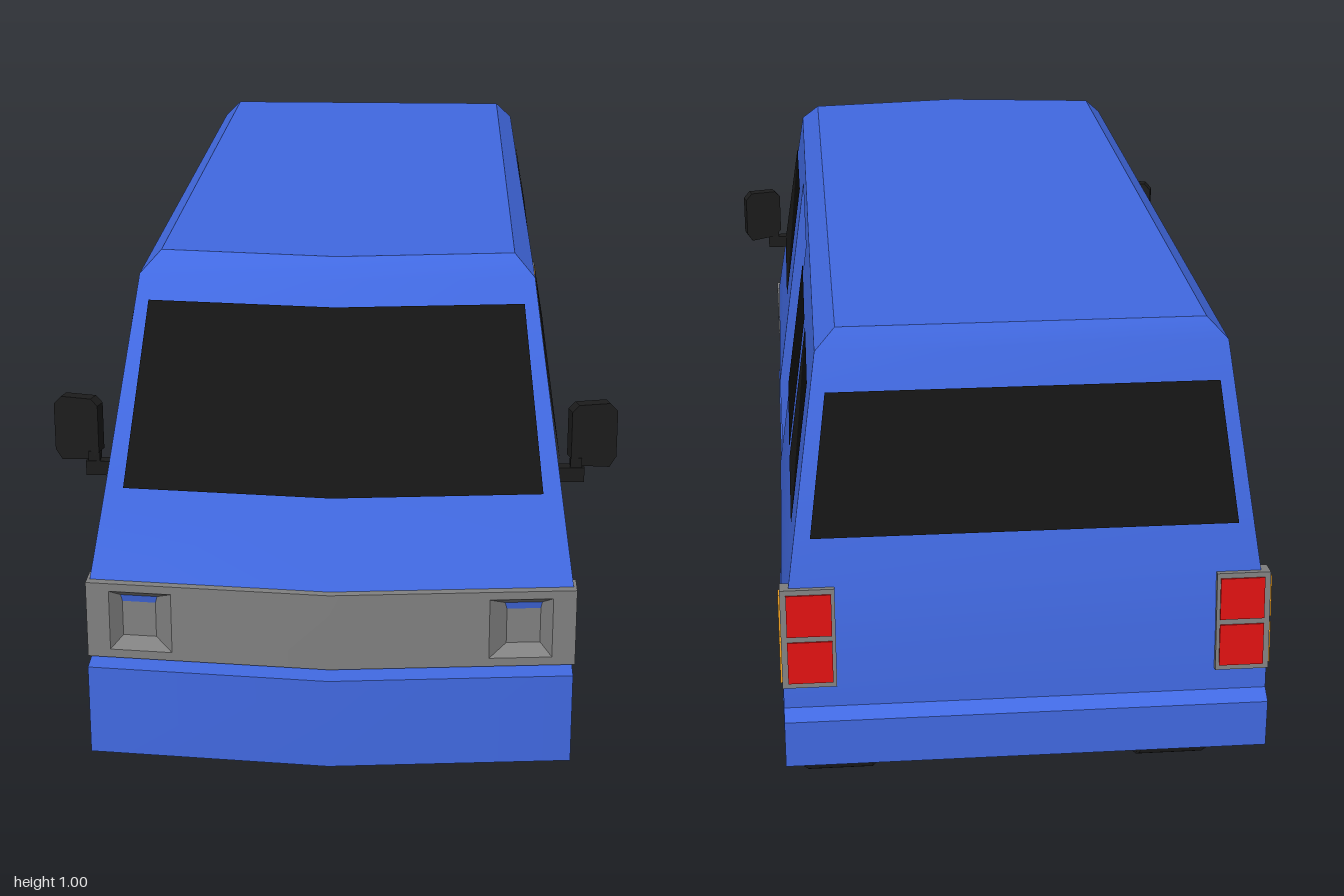
import * as THREE from 'three';
import { mergeGeometries, toCreasedNormals } from 'three/addons/utils/BufferGeometryUtils.js';

const mat = (color, side = THREE.FrontSide) => new THREE.MeshStandardMaterial({ color, side });
const blue = mat(0x4169e1, THREE.DoubleSide);
const glass = mat(0x151515, THREE.DoubleSide);
const black = mat(0x1c1c1c);
const rubber = mat(0x303030);
const rim = mat(0x808080);
const grey = mat(0x808080, THREE.DoubleSide);
const red = mat(0xdd1111);
const amber = mat(0xf0a020);

// Body rules: wall heights with centre z, half width by height, V-shaped nose
const FRONT = [[0.18, 0.995], [0.34, 0.995], [0.345, 0.915], [0.48, 0.945], [0.62, 0.87], [0.965, 0.715], [1, 0.68]];
const REAR = [[0.18, -0.74], [0.26, -1], [0.345, -1], [0.36, -0.975], [0.48, -0.968], [0.58, -0.955], [0.965, -0.87], [1, -0.85]];
const BOW = 0.04, FLOOR = 0.18, BELT = 0.48, EAVE = 0.965;
const ARCHES = [0.525, -0.545], ARCH_R = 0.195, WELL_X = 0.2;
const DOOR = [[0.25, 0.34], [0.25, BELT], [0.245, 0.93], [-0.19, 0.93], [-0.2, BELT], [-0.2, 0.34]];
const DOOR_X = 0.34;

function width(y) {
  if (y <= BELT) return 0.415;
  if (y <= EAVE) return THREE.MathUtils.mapLinear(y, BELT, EAVE, 0.415, 0.345);
  return THREE.MathUtils.mapLinear(y, EAVE, 1, 0.345, 0.31);
}
function along(profile, y) {
  const i = Math.max(1, profile.findIndex(p => p[0] >= y));
  const [a, b] = [profile[i - 1], profile[i]];
  return THREE.MathUtils.mapLinear(y, a[0], b[0], a[1], b[1]);
}

// Surface through rows of points, rows going up, points left to right from outside
function grid(rows) {
  const n = rows[0].length, index = [];
  for (let r = 0; r < rows.length - 1; r++) for (let c = 0; c < n - 1; c++) {
    const a = r * n + c;
    index.push(a, a + 1, a + n + 1, a, a + n + 1, a + n);
  }
  const g = new THREE.BufferGeometry();
  g.setAttribute('position', new THREE.Float32BufferAttribute(rows.flat(2), 3));
  g.setIndex(index);
  return g;
}

// Flat outline with each 2D point moved to 3D by a rule
function panel(points, place, hole) {
  const shape = new THREE.Shape(points.map(p => new THREE.Vector2(...p)));
  if (hole) shape.holes.push(new THREE.Path(hole.map(p => new THREE.Vector2(...p))));
  const g = new THREE.ShapeGeometry(shape), pos = g.attributes.position;
  for (let i = 0; i < pos.count; i++) pos.setXYZ(i, ...place(pos.getX(i), pos.getY(i)));
  return g;
}
// Outline in (z, y) laid on the right or left body side
const sidePanel = (points, side, lift = 0) =>
  panel(points.map(([z, y]) => [-side * z, y]), (s, y) => [side * (width(y) + lift), y, -side * s]);

function merged(list) {
  return toCreasedNormals(mergeGeometries(list.map(g => {
    const flat = g.index ? g.toNonIndexed() : g;
    for (const k of ['uv', 'normal']) flat.deleteAttribute(k);
    return flat;
  })), 0.6);
}
function add(parent, name, geometry, material) {
  const m = new THREE.Mesh(geometry, material);
  m.name = name;
  parent.add(m);
  return m;
}
function box(parent, name, size, at, material) {
  const m = add(parent, name, new THREE.BoxGeometry(...size), material);
  m.position.set(...at);
  return m;
}
const arc = zc => Array.from({ length: 17 }, (_, i) => {
  const a = Math.PI * i / 16;
  return [zc + ARCH_R * Math.cos(a), FLOOR + ARCH_R * Math.sin(a)];
});

function bodyGeometry() {
  const list = [];
  // front wall, rear wall and roof
  list.push(grid(FRONT.map(([y, z]) => [-1, 0, 1].map(u => [u * width(y), y, z - BOW * Math.abs(u)]))));
  list.push(grid(REAR.map(([y, z]) => [1, -1].map(u => [u * width(y), y, z]))));
  list.push(grid([0.68, -0.85].map((z, i) => [-1, 0, 1].map(u => [u * 0.31, 1, z - (i ? 0 : BOW * Math.abs(u))]))));
  // floor between and around the wheel wells
  const floor = [[-0.415, 0.955], [0, 0.995], [0.415, 0.955]];
  const edge = [];
  for (const zc of ARCHES) edge.push([0.415, zc + ARCH_R], [WELL_X, zc + ARCH_R], [WELL_X, zc - ARCH_R], [0.415, zc - ARCH_R]);
  edge.pop();
  list.push(panel([...floor, ...edge, ...edge.map(([x, z]) => [-x, z]).reverse()], (x, z) => [x, FLOOR, z]));

  for (const side of [1, -1]) {
    const open = side > 0;
    // lower side with wheel arches, upper side, roof edge
    const lower = [[0.905, BELT], [0.875, 0.345], [0.955, 0.34], [0.955, FLOOR], ...arc(ARCHES[0]), ...arc(ARCHES[1]),
      [-1, 0.26], [-1, 0.345], [-0.975, 0.36], [-0.968, BELT]];
    const upper = [[-0.968, BELT], [-0.955, 0.58], [-0.87, EAVE], [0.675, EAVE], [0.83, 0.62], [0.905, BELT]];
    if (open) {
      lower.push(DOOR[4], DOOR[5], DOOR[0], DOOR[1]);
      upper.push(...DOOR.slice(1, 5));
    }
    list.push(sidePanel(lower, side), sidePanel(upper, side));
    const eave = [EAVE, 1].map(y => [along(FRONT, y) - BOW, along(REAR, y)].map(z => [side * width(y), y, z]));
    list.push(grid(open ? eave : eave.map(r => r.reverse())));
    // wheel wells
    for (const zc of ARCHES) {
      list.push(grid([width(0.3), WELL_X].map(x => arc(zc).map(([z, y]) => [side * x, y, z]))));
      list.push(panel(arc(zc), (z, y) => [side * WELL_X, y, z]));
    }
  }
  // door jamb
  const loop = [...DOOR, DOOR[0]];
  list.push(grid([loop.map(([z, y]) => [width(y), y, z]), loop.map(([z, y]) => [DOOR_X, y, z])]));
  return merged(list);
}

function addWindows(van) {
  const front = [[0.75, 0.65], [0.67, 0.895], [0.295, 0.905], [0.31, 0.655]];
  const middle = [[0.205, 0.655], [0.2, 0.905], [-0.17, 0.905], [-0.18, 0.655]];
  const back = [[-0.22, 0.655], [-0.215, 0.905], [-0.525, 0.9], [-0.545, 0.655]];
  const rearmost = [[-0.585, 0.655], [-0.575, 0.905], [-0.845, 0.9], [-0.885, 0.66]];
  for (const side of [1, -1])
    for (const w of side > 0 ? [front, back, rearmost] : [front, middle, back, rearmost])
      add(van, 'sideWindow', sidePanel(w, side, 0.004), glass);
  const pane = (rows, profile, us, bow, lift) => merged([grid(rows.map(([y, hw]) =>
    us.map(u => [u * hw, y, along(profile, y) + lift - bow * Math.abs(u) * hw / width(y)])))]);
  add(van, 'windscreen', pane([[0.625, 0.362], [0.925, 0.327]], FRONT, [-1, 0, 1], BOW, 0.007), glass);
  add(van, 'rearWindow', pane([[0.66, 0.362], [0.9, 0.33]], REAR, [1, -1], 0, -0.005), glass);
  add(van, 'doorOpening', panel(DOOR.map(([z, y]) => [-z, y]), (s, y) => [DOOR_X, y, -s]), glass);
}

// Grey nose band with a sunken headlight on each side
function grilleGeometry() {
  const list = [], lo = 0.345, hi = 0.482, W = 0.42;
  const z = x => 0.96 - BOW * Math.abs(x) / W;
  const rect = (x0, x1, y0, y1) => [[x0, y0], [x1, y0], [x1, y1], [x0, y1]];
  for (const s of [1, -1]) {
    const outer = rect(s * 0.272, s * 0.38, 0.36, 0.468), inner = rect(s * 0.302, s * 0.36, 0.378, 0.452);
    list.push(panel(rect(0, s * W, lo, hi), (x, y) => [x, y, z(x)], outer));
    list.push(panel(inner, (x, y) => [x, y, z(x) - 0.024]));
    const ring = (r, d) => [...r, r[0]].map(([x, y]) => [x, y, z(x) - d]);
    const rows = [ring(outer, 0), ring(inner, 0.024)];
    list.push(grid(s > 0 ? rows : rows.reverse()));
    list.push(panel(rect(0.89, z(W), lo, hi), (d, y) => [s * W, y, d]));
    for (const y of [lo, hi]) list.push(panel([[0, z(0)], [s * W, z(W)], [s * W, 0.87], [0, 0.89]], (x, d) => [x, y, d]));
  }
  return merged(list);
}

function addWheel(parent, z) {
  const wheel = new THREE.Group();
  wheel.name = 'wheel';
  const turn = pts => toCreasedNormals(new THREE.LatheGeometry(pts.map(p => new THREE.Vector2(...p)), 28), 0.6);
  add(wheel, 'tyre', turn([[0, 0], [0.15, 0], [0.163, 0.016], [0.163, 0.138], [0.15, 0.16], [0.108, 0.16], [0.1, 0.146]]), rubber);
  add(wheel, 'hub', turn([[0.104, 0.15], [0.098, 0.157], [0.09, 0.152], [0.083, 0.132], [0, 0.138]]), rim);
  wheel.rotation.z = -Math.PI / 2;
  wheel.position.set(0.24, 0.163, z);
  parent.add(wheel);
}

function addSideParts(van, side) {
  const half = new THREE.Group();
  half.name = side > 0 ? 'leftParts' : 'rightParts';
  half.scale.x = side;
  van.add(half);
  for (const z of ARCHES) {
    addWheel(half, z);
    const lip = add(half, 'archLip', new THREE.TorusGeometry(0.2, 0.013, 6, 20, Math.PI), blue);
    lip.rotation.y = Math.PI / 2;
    lip.scale.z = 0.6;
    lip.position.set(0.413, FLOOR, z);
  }
  // door mirror
  const outline = [[0.015, 0], [0.07, -0.006], [0.082, 0.012], [0.082, 0.095], [0.068, 0.11], [0.012, 0.11], [0, 0.098], [0, 0.014]];
  const head = add(half, 'mirror', new THREE.ExtrudeGeometry(new THREE.Shape(outline.map(p => new THREE.Vector2(...p))),
    { depth: 0.024, bevelEnabled: false }), black);
  head.position.set(0.405, 0.656, 0.758);
  head.rotation.y = 0.25;
  box(half, 'mirrorArm', [0.055, 0.026, 0.022], [0.407, 0.64, 0.77], black);
  box(half, 'mirrorPost', [0.02, 0.04, 0.022], [0.42, 0.65, 0.768], black);
  // tail lamp wrapping the rear corner
  const lamp = new THREE.Group();
  lamp.name = 'tailLamp';
  lamp.position.set(0.37, 0.488, -0.957);
  lamp.rotation.x = 0.1;
  half.add(lamp);
  box(lamp, 'lampFrame', [0.092, 0.176, 0.036], [0, 0, 0], grey);
  for (const y of [-0.042, 0.042]) {
    box(lamp, 'redLens', [0.076, 0.074, 0.006], [-0.002, y, -0.018], red);
    box(lamp, 'amberLens', [0.006, 0.074, 0.026], [0.046, y, 0], amber);
  }
}

export function createModel() {
  const van = new THREE.Group();
  van.name = 'van';
  add(van, 'body', bodyGeometry(), blue);
  add(van, 'grille', grilleGeometry(), grey);
  addWindows(van);
  for (const side of [1, -1]) addSideParts(van, side);
  return van;
}
